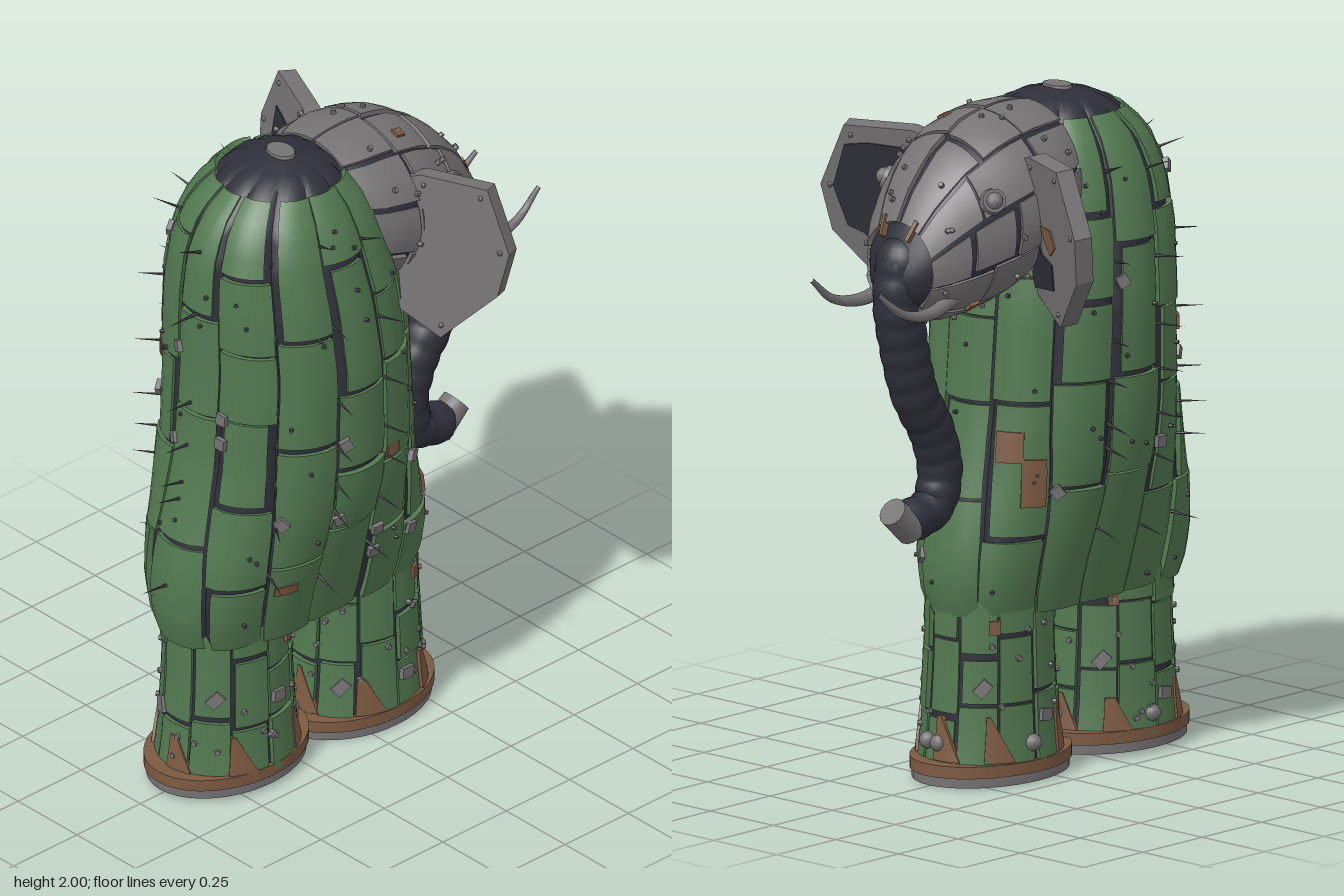
import * as THREE from 'three';
import { mergeGeometries, toCreasedNormals } from 'three/addons/utils/BufferGeometryUtils.js';

const mat = (name, color) => Object.assign(new THREE.MeshStandardMaterial({ color }), { name });
const GREEN = mat('plate green', 0x527850), GREY = mat('steel grey', 0x757274), DARK = mat('dark core', 0x2e2f39);
const BROWN = mat('rust brown', 0x7d5a42), IRON = mat('iron grey', 0x474649);
const V = (x, y, z) => new THREE.Vector3(x, y, z);
const { lerp, clamp, smoothstep, degToRad: rad } = THREE.MathUtils;
const TAU = Math.PI * 2;

let seed = 4711;
const rnd = (a = 0, b = 1) => a + (b - a) * ((seed = (seed * 16807) % 2147483647) / 2147483647);

// Linear interpolation in rows keyed by their first number (ascending)
function sample(rows, k) {
  let i = 0;
  while (i < rows.length - 2 && k > rows[i + 1][0]) i++;
  const t = clamp((k - rows[i][0]) / (rows[i + 1][0] - rows[i][0]), 0, 1);
  return rows[i].map((a, j) => lerp(a, rows[i + 1][j], t));
}

// Body surface: y, min x, max x, half depth; twelve scalloped ribs that run nearly straight down
const bodyRows = [
  [0.48, -0.2, -0.16, 0.02], [0.5, -0.61, 0.26, 0.19], [0.54, -0.63, 0.28, 0.2], [0.65, -0.64, 0.285, 0.23],
  [0.8, -0.625, 0.26, 0.275], [0.95, -0.585, 0.225, 0.32], [1.1, -0.55, 0.195, 0.34], [1.4, -0.53, 0.17, 0.345],
  [1.6, -0.53, 0.14, 0.325], [1.75, -0.515, 0.1, 0.29], [1.86, -0.47, 0.06, 0.245], [1.925, -0.395, -0.005, 0.185],
  [1.96, -0.345, -0.045, 0.15], [1.985, -0.28, -0.1, 0.09], [1.996, -0.21, -0.17, 0.02]];
function body(u, y) {
  const [, x0, x1, d] = sample(bodyRows, y);
  const n = lerp(2.7, 2, smoothstep(y, 0.55, 0.95)), a = u + lerp(0.26, 0, smoothstep(y, 0.55, 1.15)) * Math.sin(2 * u);
  const pw = c => Math.sign(c) * Math.abs(c) ** (2 / n);
  const f = 0.935 + 0.065 * Math.sqrt(Math.abs(Math.cos(6 * u)));
  return V((x0 + x1) / 2 + (x1 - x0) / 2 * f * pw(Math.cos(a)), y, d * f * pw(Math.sin(a)));
}

// Head surface: x, centre y, half height, half width
const headRows = [[-0.07, 1.76, 0.205, 0.215], [0.0, 1.745, 0.23, 0.26], [0.08, 1.73, 0.245, 0.27], [0.2, 1.69, 0.262, 0.26],
  [0.33, 1.64, 0.235, 0.21], [0.43, 1.59, 0.172, 0.155], [0.5, 1.545, 0.08, 0.09], [0.53, 1.54, 0.02, 0.02]];
function head(u, x) {
  const [, yc, h, w] = sample(headRows, x);
  return V(x, yc + h * Math.cos(u), -w * Math.sin(u));
}

// Leg surface
const legRows = [[0.05, 0.215, 0.188], [0.15, 0.2, 0.18], [0.35, 0.186, 0.172], [0.6, 0.18, 0.165]];
const leg = cx => (u, y) => {
  const [, rx, rz] = sample(legRows, y);
  return V(cx + rx * Math.cos(u), y, rz * Math.sin(u));
};

function normalAt(P, u, v) {
  const e = 1e-3;
  const du = P(u + e, v).sub(P(u - e, v)), dv = P(u, v + e).sub(P(u, v - e));
  return dv.cross(du).normalize();
}

// Curved plate lying on surface P, raised by `off`, with skirts on its four edges
function plate(P, u0, u1, v0, v1, off = 0.01, nu = 5, step = 0.06) {
  const nv = Math.max(2, Math.ceil((v1 - v0) / step)), pos = [], idx = [];
  for (let j = -1; j <= nv + 1; j++) for (let i = -1; i <= nu + 1; i++) {
    const ci = clamp(i, 0, nu), cj = clamp(j, 0, nv);
    const u = lerp(u0, u1, ci / nu), v = lerp(v0, v1, cj / nv);
    const h = ci === i && cj === j ? off : -0.006;
    pos.push(...P(u, v).addScaledVector(normalAt(P, u, v), h));
  }
  const w = nu + 3;
  for (let j = 0; j < nv + 2; j++) for (let i = 0; i < nu + 2; i++) {
    const a = j * w + i;
    idx.push(a, a + w, a + 1, a + 1, a + w, a + w + 1);
  }
  const g = new THREE.BufferGeometry();
  g.setAttribute('position', new THREE.Float32BufferAttribute(pos, 3));
  g.setIndex(idx);
  return g;
}

// Rows of plates in each sector, with uneven seams
function plating(P, sectors, start, v0, v1, min, max, off, seam) {
  const out = [], w = TAU / sectors;
  for (let s = 0; s < sectors; s++) {
    const a = start + s * w;
    for (let v = v0; v < v1 - 0.02;) {
      let top = Math.min(v1, v + rnd(min, max));
      if (v1 - top < min * 0.6) top = v1;
      const gl = seam * (rnd() < 0.3 ? 3 : 1), gr = seam * (rnd() < 0.25 ? 3 : 1);
      out.push(plate(P, a + w * gl, a + w * (1 - gr), v, top - (top < v1 ? rnd(0.006, 0.022) : 0), off + rnd(0, 0.01)));
      v = top;
    }
  }
  return out;
}

// Sets a small solid upright on a surface
function onSurface(g, P, u, v, off = 0) {
  const n = normalAt(P, u, v), p = P(u, v).addScaledVector(n, off);
  return g.applyQuaternion(new THREE.Quaternion().setFromUnitVectors(V(0, 1, 0), n)).translate(p.x, p.y, p.z);
}
const bolt = (r = 0.009) => new THREE.CylinderGeometry(r * 0.8, r, 0.012, 7);

// Tube along points whose radius follows r(t)
function taperTube(pts, r, n, sides) {
  const curve = new THREE.CatmullRomCurve3(pts.map(p => V(...p)));
  const g = new THREE.TubeGeometry(curve, n, 1, sides), p = g.attributes.position, v = V(0, 0, 0);
  for (let i = 0; i < p.count; i++) {
    const t = Math.floor(i / (sides + 1)) / n, c = curve.getPointAt(t);
    v.fromBufferAttribute(p, i).sub(c).multiplyScalar(r(t)).add(c);
    p.setXYZ(i, v.x, v.y, v.z);
  }
  return g;
}

export function createModel() {
  const root = new THREE.Group();
  function add(name, material, geos, crease = 0.7) {
    const list = [].concat(geos).map(g => {
      g.deleteAttribute('uv');
      g.deleteAttribute('normal');
      return toCreasedNormals(g, crease);
    });
    const m = new THREE.Mesh(mergeGeometries(list), material);
    m.name = name;
    root.add(m);
  }

  // Body
  add('bodyCore', DARK, plate(body, 0, TAU, 0.481, 1.995, 0, 96, 0.02));
  add('bodyPlates', GREEN, plating(body, 12, rad(15), 0.505, 1.93, 0.2, 0.42, 0.008, 0.05));
  add('topVent', GREY, new THREE.CylinderGeometry(0.035, 0.037, 0.01, 16).scale(1, 1, 1.35).translate(-0.195, 1.995, 0));
  // Rust patches: angle, bottom, top, half angle
  add('bodyRust', BROWN, [[-37, 0.83, 0.97, 5], [-27, 0.96, 1.05, 6], [70, 1.05, 1.085, 3], [125, 0.68, 0.71, 6], [230, 1.28, 1.32, 5], [20, 0.72, 0.78, 3]]
    .map(([a, v0, v1, w]) => plate(body, rad(a - w), rad(a + w), v0, v1, 0.021)));
  const spikes = [], studs = [], clamps = [];
  for (const a of [75, 105, 135, 180, 225, 255, 285])
    for (const y of [1.8, 1.55, 1.31, 1.17, 1.05, 0.95, 0.72])
      spikes.push(onSurface(new THREE.ConeGeometry(0.006, 0.11, 6), body, rad(a), y + rnd(-0.03, 0.03), 0.055));
  for (let i = 0; i < 60; i++) studs.push(onSurface(bolt(0.007), body, rad(30 * (i % 12) + rnd(-9, 9)), rnd(0.55, 1.85), 0.018));
  for (let i = 0; i < 20; i++) clamps.push(onSurface(new THREE.BoxGeometry(0.035, 0.016, 0.035), body, rad(30 * (i % 12) + 11), rnd(0.6, 1.85), 0.018));
  add('bodySpikes', IRON, spikes);
  add('bodyBolts', IRON, studs);
  add('bodyClamps', GREY, clamps);

  // Legs and feet
  for (const [side, cx, fx, base] of [['right', -0.41, -0.41, 0.012], ['left', 0.09, 0.085, 0]]) {
    const P = leg(cx), disc = (s, y, h) => new THREE.CylinderGeometry(s, s, h, 40).scale(0.27, 1, 0.2).translate(fx, base + y, 0);
    add(side + 'LegCore', DARK, plate(P, 0, TAU, 0.05, 0.56, 0, 40));
    add(side + 'LegPlates', GREEN, plating(P, 10, rad(18), 0.06, 0.55, 0.13, 0.25, 0.006, 0.03));
    const rust = [], bits = [];
    for (const a of [48, 115, 170, 232, 305, 350]) {
      const c = rad(a), taper = (u, v) => P(lerp(u, c + 0.2, clamp((v - 0.07) / 0.16, 0, 0.95)), v);
      rust.push(plate(taper, c - 0.22, c + 0.22, 0.07, rnd(0.17, 0.22), 0.018));
    }
    for (const a of [-50, 60]) rust.push(plate(P, rad(a - 5), rad(a + 5), 0.45, 0.49, 0.018));
    for (let i = 0; i < 26; i++) bits.push(onSurface(bolt(0.01), P, rnd(0, TAU), rnd(0.09, 0.48), 0.015));
    for (const a of [0, 15, 275]) bits.push(onSurface(new THREE.SphereGeometry(0.026, 10, 8), P, rad(a), 0.12, 0.01));
    for (const a of [80, 140, 200, 260, 320]) bits.push(onSurface(new THREE.BoxGeometry(0.05, 0.016, 0.035), P, rad(a), rnd(0.14, 0.34), 0.013));
    add(side + 'LegRust', BROWN, rust);
    add(side + 'LegFittings', GREY, bits);
    add(side + 'FootRim', BROWN, disc(1, 0.05, 0.036));
    add(side + 'FootRing', GREY, disc(0.97, 0.018, 0.03));
    add(side + 'FootSole', DARK, disc(0.87, 0.002, 0.004));
  }

  // Head
  add('headCore', DARK, plate(head, 0, TAU, -0.07, 0.53, 0, 48, 0.03));
  add('headPlates', GREY, plating(head, 10, 0, -0.065, 0.462, 0.12, 0.2, 0.007, 0.028));
  add('headBack', DARK, new THREE.SphereGeometry(1, 24, 16).scale(0.03, 0.2, 0.21).translate(-0.07, 1.76, 0));
  add('headBolts', GREY, Array.from({ length: 40 }, (_, i) => onSurface(bolt(), head, TAU * (i + rnd(0.2, 0.8)) / 10, rnd(0, 0.44), 0.018)));
  add('headRust', BROWN, [[-0.45, 0.15], [2.4, 0.3], [0.4, 0.45], [-0.5, 0.45]]
    .map(([u, x]) => plate(head, u, u + 0.1, x, x + 0.03, 0.019)));
  add('snout', DARK, new THREE.SphereGeometry(0.085, 20, 14).translate(0.45, 1.58, 0));
  for (const u of [-1.1, 1.1]) {
    add('eyeSocket', GREY, onSurface(new THREE.CylinderGeometry(0.035, 0.04, 0.025, 14), head, u, 0.29, 0.012));
    add('eye', GREY, onSurface(new THREE.SphereGeometry(0.026, 14, 10), head, u, 0.29, 0.022));
  }

  // Trunk with soft rings and a plain nozzle
  add('trunk', DARK, taperTube([[0.455, 1.6, 0], [0.474, 1.47, 0], [0.45, 1.33, 0], [0.405, 1.18, 0], [0.33, 1.05, 0], [0.299, 0.93, 0], [0.33, 0.835, 0], [0.44, 0.8, 0]],
    t => 0.074 - 0.014 * t + 0.004 * Math.abs(Math.sin(Math.PI * 14 * t)), 84, 18));
  add('trunkNozzle', GREY, new THREE.CylinderGeometry(0.044, 0.05, 0.105, 14).rotateZ(-0.89).translate(0.458, 0.812, 0));

  // Tusks and forward-leaning ears, one of each on both sides
  const earShape = [[-0.07, 1.84], [0.06, 1.89], [0.27, 1.89], [0.35, 1.7], [0.32, 1.56], [0.15, 1.39], [-0.02, 1.47]];
  for (const s of [1, -1]) {
    const side = s > 0 ? 'left' : 'right', front = -s * 0.0285;
    add(side + 'Tusk', GREY, taperTube([[0.36, 1.49, s * 0.125], [0.48, 1.455, s * 0.135], [0.6, 1.475, s * 0.14], [0.7, 1.55, s * 0.133]], t => 0.026 - 0.019 * t, 24, 10));
    const seat = g => g.translate(0, -1.64, 0).rotateX(-s * 0.13).translate(0, 1.64, 0).rotateY(-s * 1.16).translate(0.095, 0, s * 0.2);
    const slab = (pts, depth, z) => seat(new THREE.ExtrudeGeometry(new THREE.Shape(pts.map(p => new THREE.Vector2(...p))), { depth, bevelEnabled: false })
      .translate(0, 0, z - depth / 2));
    add(side + 'Ear', GREY, slab(earShape, 0.054, 0), 0.3);
    const inner = s > 0
      ? [[0, 1.83], [0.2, 1.84], [0.27, 1.83], [0.31, 1.7], [0.27, 1.58], [0.22, 1.56], [0.16, 1.5], [0.1, 1.53], [0, 1.5]]
      : [[-0.02, 1.7], [0.06, 1.68], [0.08, 1.6], [0.15, 1.58], [0.14, 1.5], [0, 1.48]];
    add(side + 'EarInnerPanel', DARK, slab(inner, 0.006, front), 0.3);
    if (s < 0) {
      add('earBackPanel', DARK, slab([[0.08, 1.77], [0.24, 1.79], [0.25, 1.6], [0.2, 1.56], [0.07, 1.6]], 0.006, -front), 0.3);
      add('earRust', BROWN, slab([[0.1, 1.69], [0.17, 1.69], [0.19, 1.64], [0.15, 1.61], [0.12, 1.64]], 0.006, front), 0.3);
    }
    add(side + 'EarBolts', GREY, [[0.07, 1.86], [0.25, 1.86], [0.32, 1.7], [0.15, 1.43]].flatMap(([x, y]) => [-0.028, 0.028]
      .map(z => seat(new THREE.SphereGeometry(0.008, 8, 6).translate(x, y, z)))));
  }
  return root;
}
